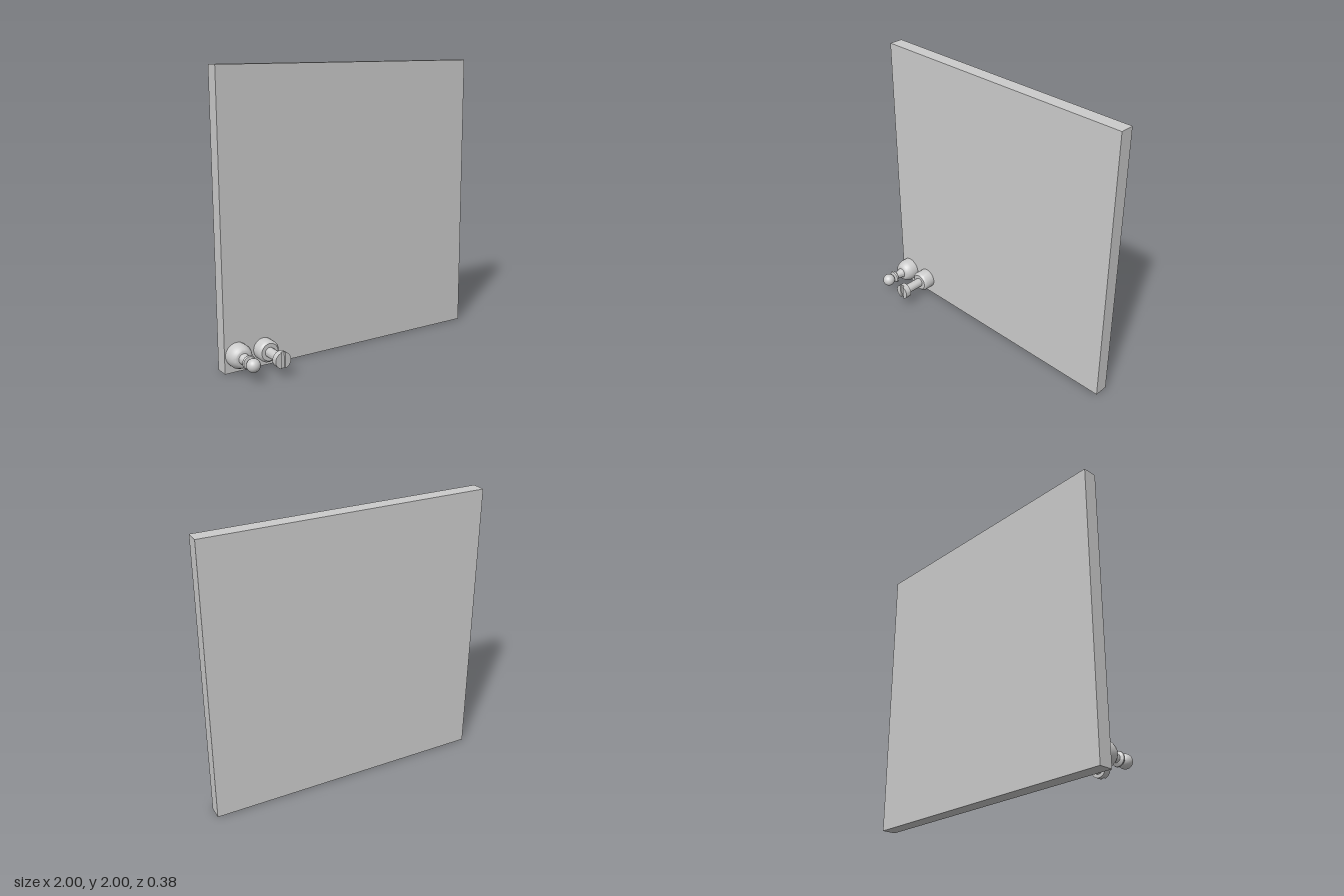
import * as THREE from 'three';
import { toCreasedNormals } from 'three/addons/utils/BufferGeometryUtils.js';

const material = new THREE.MeshStandardMaterial({ color: 0xcccccc });
const BOARD_FRONT = -0.09;

function add(parent, name, geometry, z = 0) {
  const mesh = new THREE.Mesh(geometry, material);
  mesh.name = name;
  mesh.position.z = z;
  parent.add(mesh);
  return mesh;
}

// Turned part whose axis points along +z; profile is [radius, z] pairs
function turned(profile) {
  const points = profile.map(([r, z]) => new THREE.Vector2(r, z));
  const geometry = new THREE.LatheGeometry(points, 40).rotateX(Math.PI / 2);
  return toCreasedNormals(geometry, 0.5);
}

function createPawn() {
  const pawn = new THREE.Group();
  pawn.name = 'pawn';
  add(pawn, 'pawnBase', turned([
    [0, 0], [0.083, 0], [0.083, 0.05], [0.078, 0.064], [0.07, 0.084], [0.059, 0.098], [0.05, 0.102], [0, 0.102],
  ]));
  add(pawn, 'pawnStem', turned([[0.038, 0.1], [0.033, 0.118], [0.027, 0.14], [0.025, 0.165]]));
  add(pawn, 'pawnCollar', turned([
    [0, 0.159], [0.03, 0.159], [0.046, 0.168], [0.048, 0.174], [0.042, 0.182], [0.025, 0.187], [0, 0.187],
  ]));
  add(pawn, 'pawnHead', new THREE.SphereGeometry(0.046, 32, 20), 0.234);
  return pawn;
}

function createRook() {
  const rook = new THREE.Group();
  rook.name = 'rook';
  add(rook, 'rookBase', turned([
    [0, 0], [0.075, 0], [0.075, 0.07], [0.07, 0.08], [0.06, 0.088], [0, 0.088],
  ]));
  add(rook, 'rookStem', turned([[0.034, 0.086], [0.034, 0.228]]));
  add(rook, 'rookHead', turned([[0, 0.225], [0.056, 0.225], [0.056, 0.256], [0, 0.256]]));

  // Two raised battlements with a slot between them
  const radius = 0.056;
  const angle = Math.acos(0.014 / radius);
  const segment = new THREE.Shape();
  segment.absarc(0, 0, radius, -angle, angle, false);
  segment.closePath();
  for (const turn of [0, Math.PI]) {
    const geometry = new THREE.ExtrudeGeometry(segment, { depth: 0.014, bevelEnabled: false, curveSegments: 20 });
    add(rook, 'rookBattlement', toCreasedNormals(geometry, 0.5), 0.256).rotation.z = turn;
  }
  return rook;
}

export function createModel() {
  const model = new THREE.Group();
  model.name = 'chessBoardWithPieces';

  // Upright board
  const board = add(model, 'board', new THREE.BoxGeometry(2, 2, 0.1), BOARD_FRONT - 0.05);
  board.position.y = 1;

  // Pieces stand out from the lower corner of the board
  const pawn = createPawn();
  pawn.position.set(-0.91, 0.12, BOARD_FRONT);
  const rook = createRook();
  rook.position.set(-0.713, 0.12, BOARD_FRONT);
  model.add(pawn, rook);
  return model;
}
